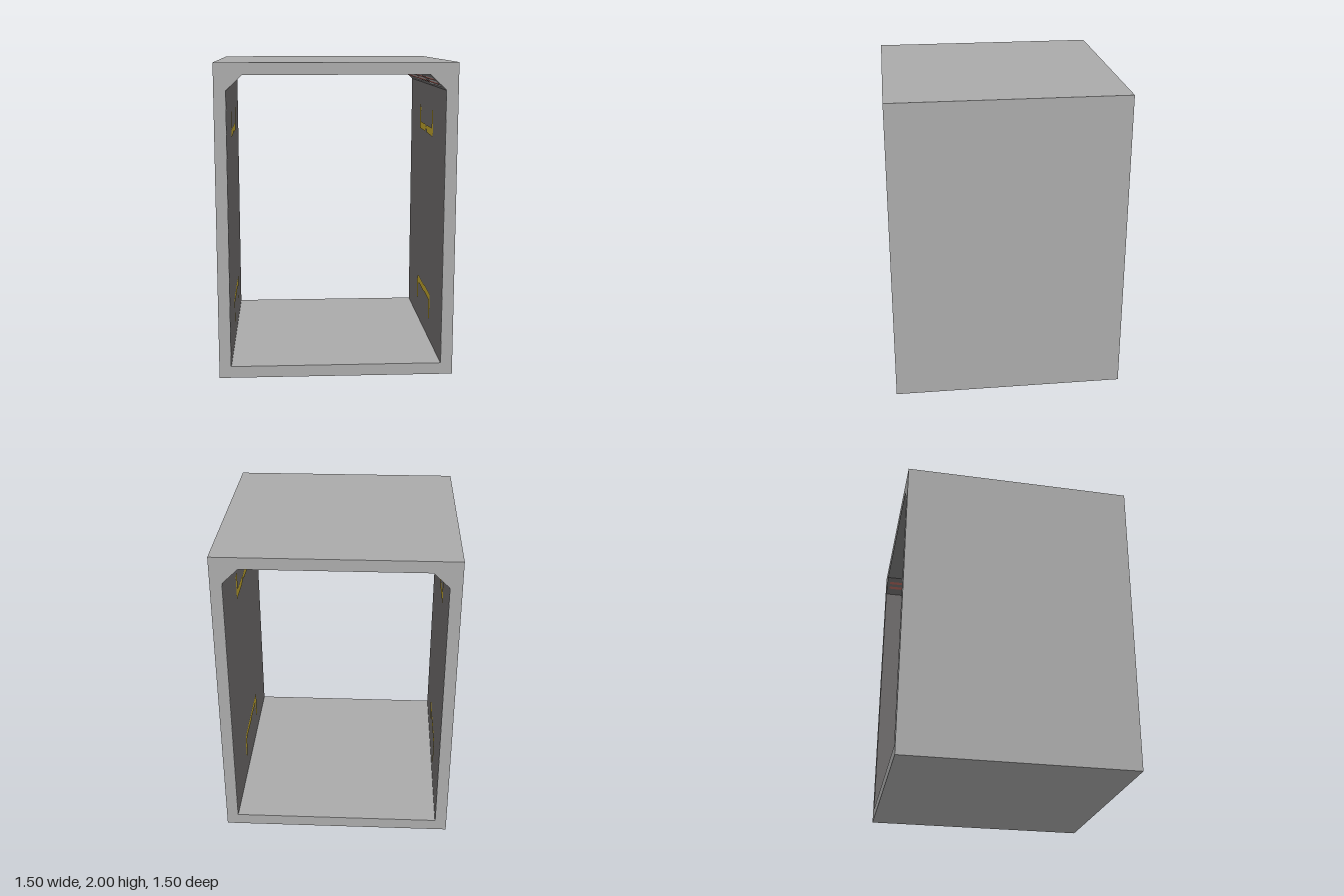
import * as THREE from 'three';

const W = 0.75, IN = 0.675, FLOOR = 0.075, CEIL = 1.925, CUT_X = 0.575, CUT_Y = 1.83;

const material = (name, color) => {
  const m = new THREE.MeshStandardMaterial({ color });
  m.name = name;
  return m;
};

export function createModel() {
  const concrete = material('concrete', 0xaaaaaa);
  const wallGrey = material('wall grey', 0x6f6c6c);
  const ceilingGrey = material('ceiling grey', 0x7c7c7c);
  const yellow = material('marking yellow', 0xbfa32c);
  const red = material('stripe red', 0xae665c);

  const model = new THREE.Group();
  model.name = 'culvertSection';

  const add = (parent, name, geometry, mat, x = 0, y = 0, z = 0) => {
    const mesh = new THREE.Mesh(geometry, mat);
    mesh.name = name;
    mesh.position.set(x, y, z);
    parent.add(mesh);
    return mesh;
  };
  const shapeOf = (pts) => new THREE.Shape(pts.map(([x, y]) => new THREE.Vector2(x, y)));

  // Open-ended tunnel shell with two cut upper corners
  const outline = shapeOf([[-W, 0], [W, 0], [W, 2], [-W, 2]]);
  outline.holes.push(shapeOf([
    [-IN, FLOOR], [-IN, CUT_Y], [-CUT_X, CEIL], [CUT_X, CEIL], [IN, CUT_Y], [IN, FLOOR],
  ]));
  const shell = new THREE.ExtrudeGeometry(outline, { depth: 2 * W, bevelEnabled: false });
  add(model, 'shell', shell, concrete, 0, 0, -W);

  // Darker ceiling lining
  add(model, 'ceilingLining', new THREE.PlaneGeometry(2 * CUT_X, 2 * W), ceilingGrey, 0, CEIL - 0.002, 0)
    .rotation.x = Math.PI / 2;

  // Bracket markings: the upper opens upwards with a notched bar, the lower opens downwards
  const upperBracket = new THREE.ShapeGeometry(shapeOf([
    [-0.29, 1.49], [-0.26, 1.495], [-0.05, 1.495], [-0.02, 1.515], [0.01, 1.515], [0.03, 1.495],
    [0.27, 1.49], [0.29, 1.51], [0.29, 1.65], [0.275, 1.67], [0.255, 1.67], [0.24, 1.65],
    [0.24, 1.545], [0.04, 1.545], [0.01, 1.535], [-0.02, 1.535], [-0.04, 1.545],
    [-0.235, 1.545], [-0.24, 1.65], [-0.255, 1.67], [-0.275, 1.67], [-0.29, 1.65],
  ]));
  const lowerBracket = new THREE.ShapeGeometry(shapeOf([
    [-0.29, 0.24], [-0.275, 0.22], [-0.255, 0.22], [-0.24, 0.24], [-0.235, 0.335], [-0.2, 0.352],
    [0, 0.345], [0.04, 0.355], [0.24, 0.35], [0.24, 0.24], [0.255, 0.22], [0.275, 0.22],
    [0.29, 0.24], [0.29, 0.4], [0.04, 0.403], [0, 0.395], [-0.23, 0.4], [-0.27, 0.385], [-0.29, 0.36],
  ]));

  // Details of one side, repeated half a turn round for the other
  const makeSide = (name, turn) => {
    const side = new THREE.Group();
    side.name = name;
    side.rotation.y = turn;
    model.add(side);

    const wall = new THREE.Group();
    wall.name = 'innerWall';
    wall.position.x = -IN;
    wall.rotation.y = Math.PI / 2;
    side.add(wall);
    add(wall, 'wallLining', new THREE.PlaneGeometry(2 * W, CUT_Y - FLOOR), wallGrey,
      0, (CUT_Y + FLOOR) / 2, 0.002);
    add(wall, 'upperBracketMarking', upperBracket, yellow, 0, 0, 0.005);
    add(wall, 'lowerBracketMarking', lowerBracket, yellow, 0, 0, 0.005);

    // Sloping corner panel with pale patches and two red stripes
    const dx = IN - CUT_X, dy = CEIL - CUT_Y;
    const corner = new THREE.Group();
    corner.name = 'cornerPanel';
    corner.position.set(-(IN + CUT_X) / 2, (CEIL + CUT_Y) / 2, 0);
    corner.rotation.set(Math.atan2(dx, dy), Math.PI / 2, 0, 'YXZ');
    side.add(corner);
    add(corner, 'cornerLining', new THREE.PlaneGeometry(2 * W, Math.hypot(dx, dy)), wallGrey, 0, 0, 0.002);
    const patches = [[-0.27, -0.02, 0.36, 0.05], [0.08, 0.01, 0.3, 0.09],
      [0.31, -0.03, 0.14, 0.04], [0.55, 0.0, 0.32, 0.08]];
    for (const [u, v, w, h] of patches) {
      add(corner, 'palePatch', new THREE.PlaneGeometry(w, h), concrete, u, v, 0.004);
    }
    for (const v of [-0.012, 0.026]) {
      add(corner, 'redStripe', new THREE.PlaneGeometry(1.46, 0.018), red, 0, v, 0.006);
    }
  };
  makeSide('rightSide', 0);
  makeSide('leftSide', Math.PI);

  return model;
}
